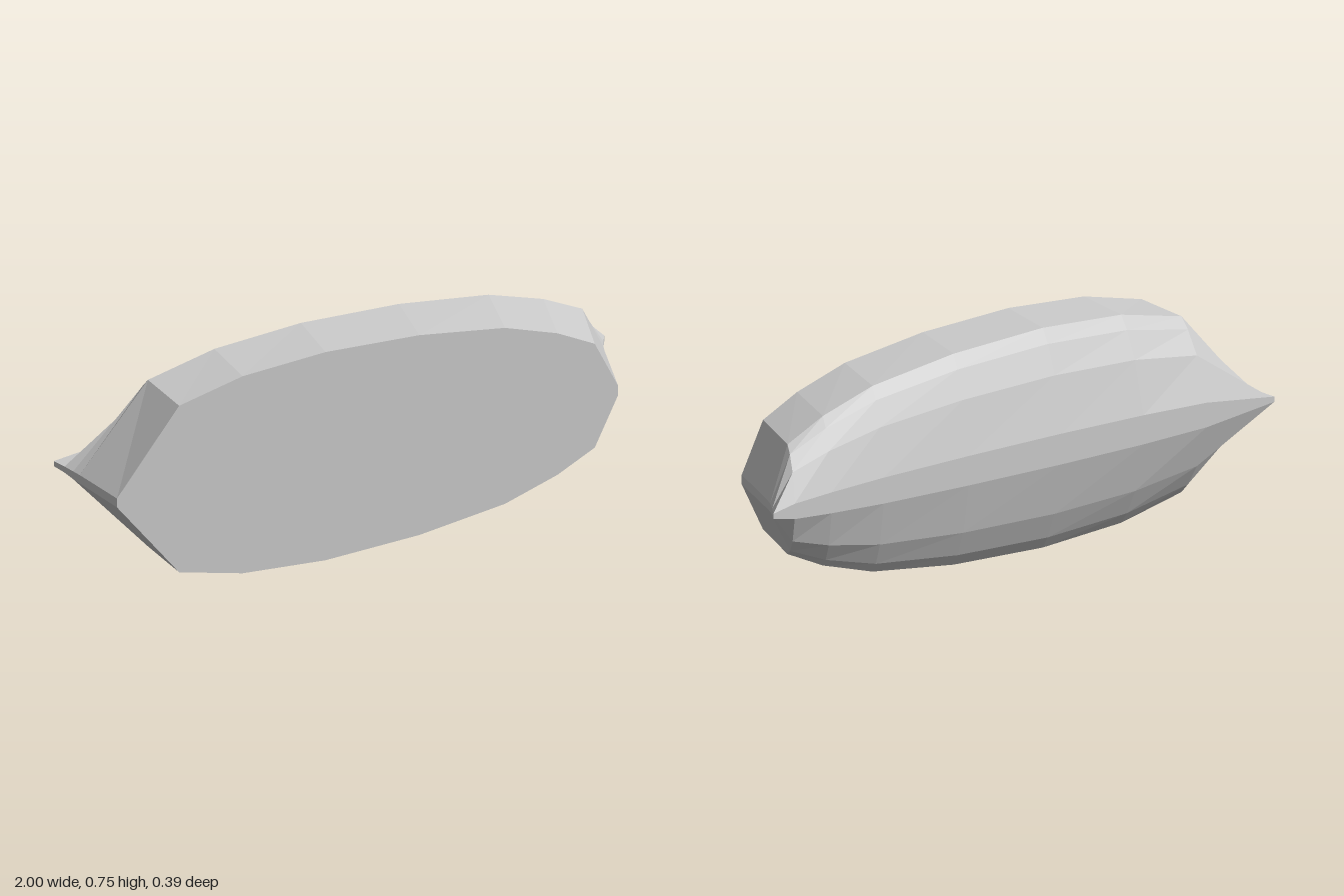
import * as THREE from 'three';

// Deck outline from stern to bow: [x, half width]
const OUTLINE = [
  [-0.73, 0.3], [-0.5, 0.355], [-0.2, 0.375], [0.14, 0.36],
  [0.45, 0.317], [0.64, 0.255], [0.775, 0.187],
];

// Rows from deck edge to keel: width factor, depth at stern and bow,
// forward rake at the bow, then x and half width of the two stems
const ROWS = [
  { k: 1.00, z: [0.155, 0.192], rake: 0, stern: -0.955, bow: 0.86, tip: 0.016 },
  { k: 1.00, z: [-0.055, -0.055], rake: 0.085, stern: -0.98, bow: 0.942, tip: 0.015 },
  { k: 0.88, z: [-0.09, -0.088], rake: 0.1, stern: -0.985, bow: 0.955, tip: 0.014 },
  { k: 0.63, z: [-0.14, -0.126], rake: 0.118, stern: -0.99, bow: 0.975, tip: 0.011 },
  { k: 0.14, z: [-0.195, -0.166], rake: 0.14, stern: -1.0, bow: 1.0, tip: 0.009 },
];
const CENTRE_Y = 0.375;

// One closed cross-section: down the upper side, back along the lower side
function makeRing(pointOnRow) {
  const half = ROWS.map((row) => {
    const [x, w] = pointOnRow(row);
    const z = THREE.MathUtils.lerp(row.z[0], row.z[1], (x - row.stern) / (row.bow - row.stern));
    return [x, w, z];
  });
  const upper = half.map(([x, w, z]) => [x, CENTRE_Y + w, z]);
  const lower = half.map(([x, w, z]) => [x, CENTRE_Y - w, z]).reverse();
  return [...upper, ...lower];
}

function hullGeometry() {
  const rings = [
    makeRing((r) => [r.stern, r.tip]),
    ...OUTLINE.map(([x, w]) => makeRing((r) => [x + r.rake * (x + 0.73) / 1.505, w * r.k])),
    makeRing((r) => [r.bow, r.tip]),
  ];
  const n = ROWS.length * 2;
  const last = rings.length - 1;
  const index = [];
  const id = (i, j) => i * n + (j % n);
  const quad = (a, b, c, d) => index.push(a, b, c, a, c, d);

  // Sides, bottom and deck
  for (let i = 0; i < last; i++) {
    for (let j = 0; j < n; j++) quad(id(i, j), id(i + 1, j), id(i + 1, j + 1), id(i, j + 1));
  }
  // Narrow stems closing both ends
  for (let j = 0; j < ROWS.length - 1; j++) {
    const o = n - 1 - j;
    quad(id(last, j), id(last, o), id(last, o - 1), id(last, j + 1));
    quad(id(0, j), id(0, j + 1), id(0, o - 1), id(0, o));
  }

  const geometry = new THREE.BufferGeometry();
  geometry.setAttribute('position', new THREE.Float32BufferAttribute(rings.flat(2), 3));
  geometry.setIndex(index);
  const flat = geometry.toNonIndexed();
  flat.computeVertexNormals();
  return flat;
}

export function createModel() {
  const model = new THREE.Group();
  model.name = 'boatHull';
  const material = new THREE.MeshStandardMaterial({ color: 0xcccccc, flatShading: true });
  const hull = new THREE.Mesh(hullGeometry(), material);
  hull.name = 'hull';
  model.add(hull);
  return model;
}
